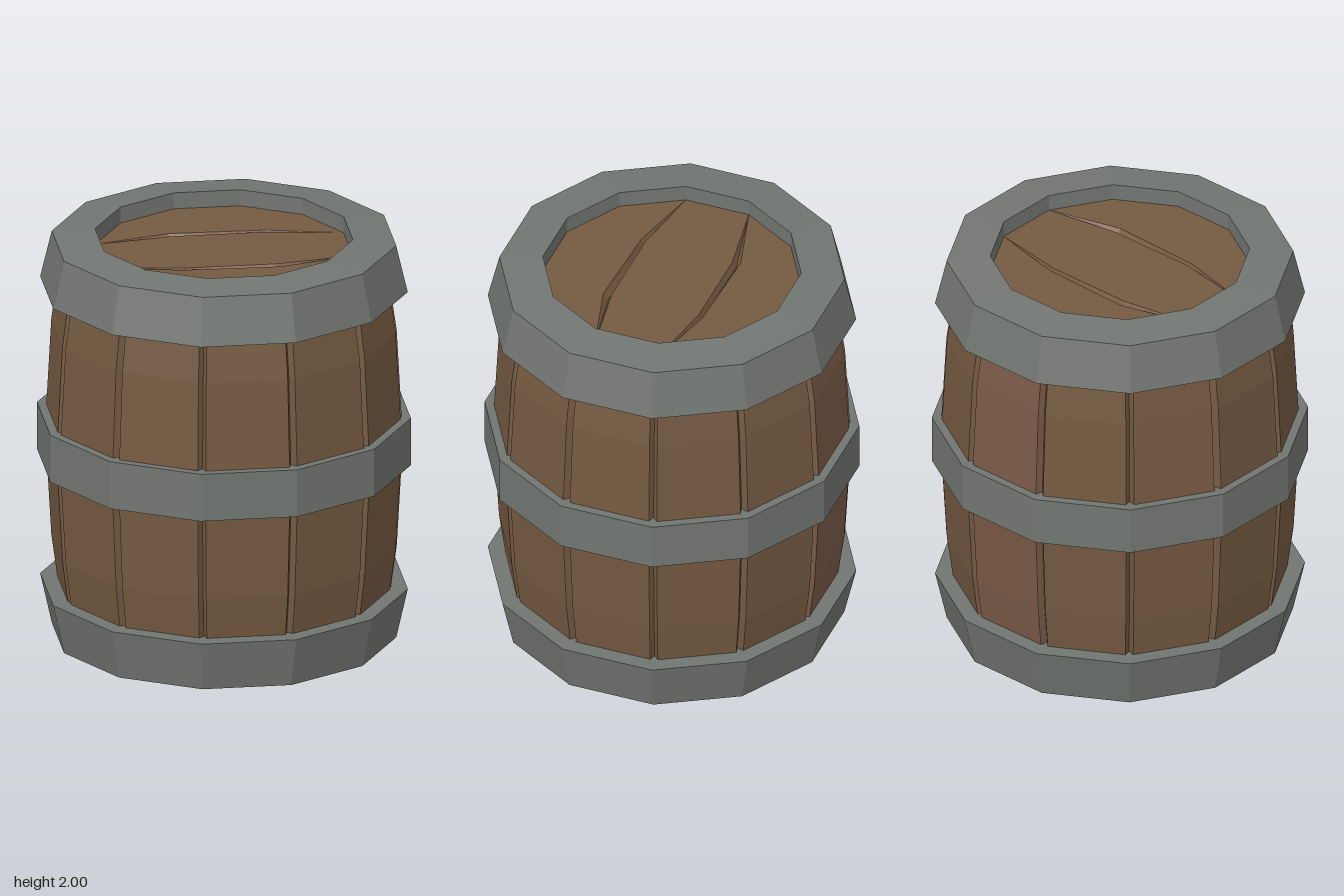
import * as THREE from 'three';

const SIDES = 12;

const paint = (name, color) => {
  const m = new THREE.MeshStandardMaterial({ color });
  m.name = name;
  return m;
};

// Faceted geometry: every face keeps its own normal
const facet = (geo) => {
  const g = geo.index ? geo.toNonIndexed() : geo;
  g.computeVertexNormals();
  return g;
};

// Faces between two polylines of equal length
const strip = (out, p, q) => {
  for (let i = 0; i < p.length - 1; i++) {
    out.push(p[i], p[i + 1], q[i], q[i], p[i + 1], q[i + 1]);
  }
};

const fromPoints = (pts) => facet(new THREE.BufferGeometry().setFromPoints(pts));

const rim = (k, r, y) => {
  const a = (k * Math.PI * 2) / SIDES;
  return new THREE.Vector3(Math.sin(a) * r, y, Math.cos(a) * r);
};

// One bulging stave with half a V-groove on each edge
function staveGeometry(k) {
  const levels = [[0.1, 0.77], [0.47, 0.82], [1, 0.85], [1.55, 0.82], [1.9, 0.77]];
  const cut = 0.045;
  const columns = [[], [], [], []];
  for (const [y, r] of levels) {
    const a = rim(k, r, y), b = rim(k + 1, r, y);
    columns[0].push(rim(k, r - 0.035, y));
    columns[1].push(a.clone().lerp(b, cut));
    columns[2].push(b.clone().lerp(a, cut));
    columns[3].push(rim(k + 1, r - 0.035, y));
  }
  const pts = [];
  for (let i = 0; i < 3; i++) strip(pts, columns[i + 1], columns[i]);
  return fromPoints(pts);
}

// Flat horizontal plank from [x, z] corners
function plankGeometry(corners, y) {
  const shape = new THREE.Shape(corners.map(([x, z]) => new THREE.Vector2(x, -z)));
  return new THREE.ShapeGeometry(shape).rotateX(-Math.PI / 2).translate(0, y, 0);
}

export function createModel() {
  const barrel = new THREE.Group();
  barrel.name = 'barrel';
  const wood = paint('brown wood', 0x755a41);
  const redWood = paint('reddish wood', 0x7a5a47);
  const metal = paint('grey metal', 0x727672);

  const add = (name, geo, mat, parent = barrel) => {
    const mesh = new THREE.Mesh(geo, mat);
    mesh.name = name;
    parent.add(mesh);
    return mesh;
  };

  // Staves
  const staves = new THREE.Group();
  staves.name = 'staves';
  barrel.add(staves);
  for (let k = 0; k < SIDES; k++) {
    add('stave' + (k + 1), staveGeometry(k), k === 4 ? redWood : wood, staves);
  }

  // Metal hoops
  const hoop = (name, profile) => add(name, facet(new THREE.LatheGeometry(
    profile.map(([r, y]) => new THREE.Vector2(r, y)), SIDES)), metal);
  const endProfile = [[0.61, 1.88], [0.74, 1.75], [0.87, 1.75], [0.815, 1.98], [0.61, 2], [0.61, 1.88]];
  hoop('topHoop', endProfile);
  hoop('bottomHoop', endProfile.map(([r, y]) => [r, y > 1.74 && y < 1.76 ? 0.265 : 2 - y]).reverse());
  hoop('middleHoop', [[0.79, 0.885], [0.885, 0.885], [0.885, 1.12], [0.79, 1.12]]);

  // Lid: three planks parted by two tapering V-grooves
  const lid = new THREE.Group();
  lid.name = 'lid';
  barrel.add(lid);
  const lidY = 1.92;
  const edge = (k) => { const p = rim(k, 0.613, 0); return [p.x, p.z]; };
  const ends = [edge(7), edge(2)];
  const inner = [ends[0], [0, -0.31], [0.31, 0], ends[1]];
  const outer = [ends[0], [0.02, -0.345], [0.335, -0.01], ends[1]];
  const floor = [ends[0], [0.008, -0.325], [0.32, -0.005], ends[1]];
  const at = (line, depth) => line.map(([x, z], i) =>
    new THREE.Vector3(x, lidY - (i % 3 ? depth : 0), z));

  const groovePts = [];
  strip(groovePts, at(inner, 0), at(floor, 0.035));
  strip(groovePts, at(floor, 0.035), at(outer, 0));
  const sidePlank = [...outer, edge(3), edge(4), edge(5), edge(6)];
  for (const [side, turn] of [['back', 0], ['front', Math.PI]]) {
    add(side + 'LidPlank', plankGeometry(sidePlank, lidY).rotateY(turn), wood, lid);
    add(side + 'LidGroove', fromPoints(groovePts).rotateY(turn), wood, lid);
  }
  const opposite = inner.map(([x, z]) => [-x, -z]);
  add('middleLidPlank', plankGeometry([...inner, ...opposite], lidY), wood, lid);

  // Recessed base
  add('base', facet(new THREE.CylinderGeometry(0.63, 0.63, 0.02, SIDES).translate(0, 0.09, 0)), wood);

  return barrel;
}
